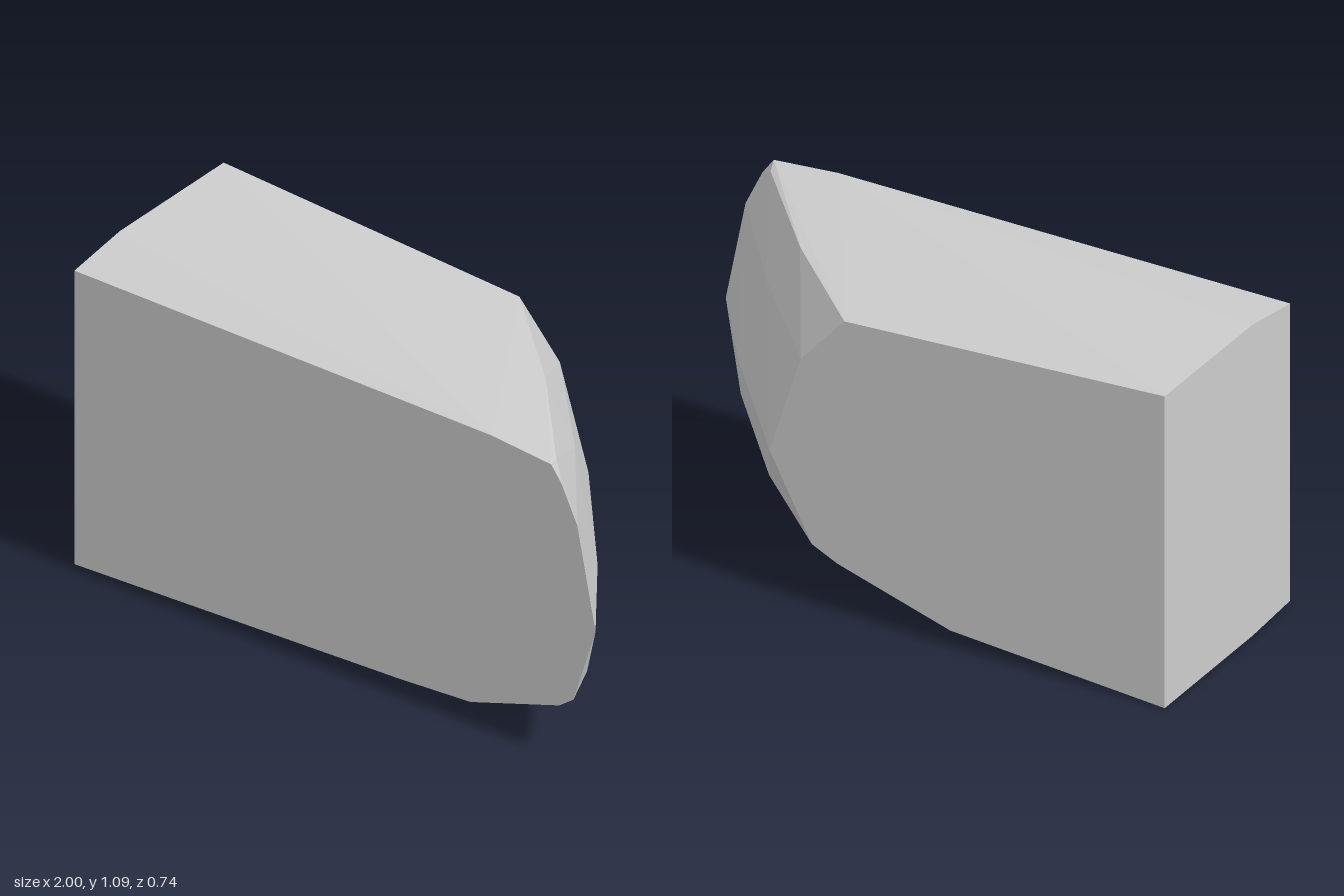
import * as THREE from 'three';
import { ConvexGeometry } from 'three/addons/geometries/ConvexGeometry.js';

// Outlines [x, y] of the two flat ends
const FRONT = [
  [-1, 0.02], [0.25, 0.064], [0.52, 0.08], [0.86, 0.19], [0.915, 0.23], [1, 0.5],
  [0.93, 0.85], [0.87, 0.975], [0.83, 1.03], [0.6, 1.05], [-1, 1.056],
];
const BACK = [
  [-1, 0.003], [-0.24, 0.055], [0.16, 0.173], [0.25, 0.215], [0.4, 0.5],
  [0.29, 0.85], [0.135, 1.025], [-1, 1.09],
];
// Corners [x, y, z] between the ends: top and bottom bevels, then the bulging slanted side
const BETWEEN = [
  [-1, 1.09, 0.145], [-1, 0.005, 0.15],
  [0.76, 0.5, 0.05], [0.874, 0.26, 0.25], [0.552, 0.247, -0.12],
  [0.49, 1.022, -0.04], [0.81, 1.02, 0.32], [0.635, 0.85, 0],
];
const HALF_DEPTH = 0.372;

export function createModel() {
  const model = new THREE.Group();
  model.name = 'facetedBlock';

  const grey = new THREE.MeshStandardMaterial({ color: 0xcccccc });
  grey.name = 'light grey';

  // Faceted body wrapped around both outlines and the corners between
  const atDepth = (outline, z) => outline.map(([x, y]) => new THREE.Vector3(x, y, z));
  const body = new THREE.Mesh(new ConvexGeometry([
    ...atDepth(FRONT, HALF_DEPTH),
    ...atDepth(BACK, -HALF_DEPTH),
    ...BETWEEN.map((p) => new THREE.Vector3(...p)),
  ]), grey);
  body.name = 'body';
  model.add(body);

  return model;
}
